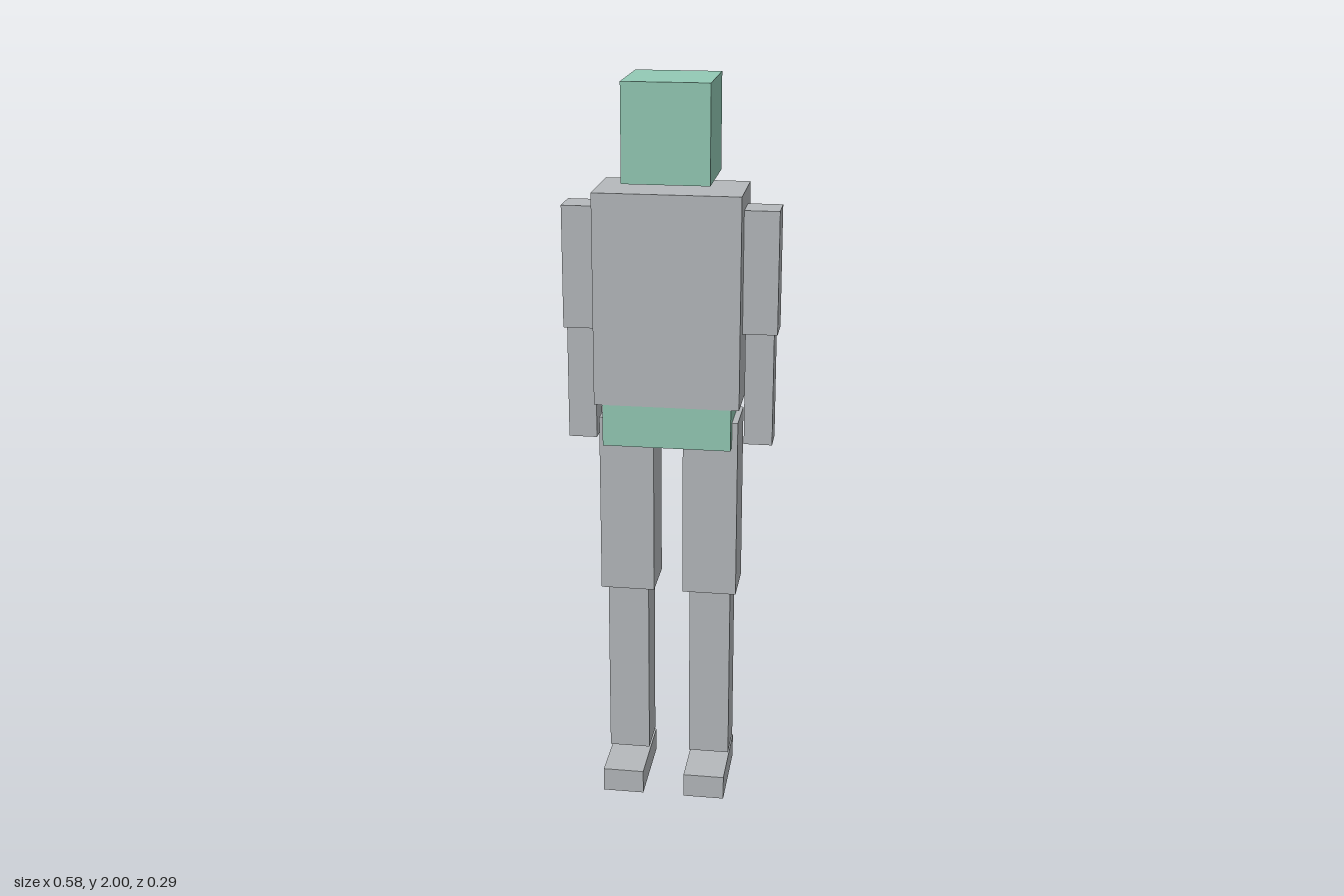
import * as THREE from 'three';

export function createModel() {
  const model = new THREE.Group();
  model.name = 'blockFigure';

  const grey = new THREE.MeshStandardMaterial({ color: 0xb5b9bc });
  grey.name = 'grey';
  const green = new THREE.MeshStandardMaterial({ color: 0x93cab5 });
  green.name = 'green';

  // Box given by its [min, max] extent on each axis
  function block(name, material, [x0, x1], [y0, y1], [z0, z1]) {
    const mesh = new THREE.Mesh(new THREE.BoxGeometry(x1 - x0, y1 - y0, z1 - z0), material);
    mesh.position.set((x0 + x1) / 2, (y0 + y1) / 2, (z0 + z1) / 2);
    mesh.name = name;
    model.add(mesh);
  }

  // Head, torso and hips
  block('head', green, [-0.115, 0.115], [1.742, 2], [-0.147, 0.093]);
  block('torso', grey, [-0.196, 0.195], [1.143, 1.715], [-0.137, 0.082]);
  block('hips', green, [-0.174, 0.173], [1.027, 1.143], [-0.129, 0.079]);

  // Limbs, mirrored to both sides
  const limbs = [
    ['UpperArm', [0.194, 0.288], [1.337, 1.668], [-0.074, 0.02]],
    ['Forearm', [0.202, 0.279], [1.027, 1.337], [-0.066, 0.014]],
    ['Thigh', [0.04, 0.189], [0.593, 1.096], [-0.098, 0.047]],
    ['Shin', [0.058, 0.172], [0.084, 0.593], [-0.082, 0.031]],
    ['Foot', [0.058, 0.172], [0, 0.068], [-0.103, 0.146]],
  ];
  for (const [name, [x0, x1], y, z] of limbs) {
    block('left' + name, grey, [x0, x1], y, z);
    block('right' + name, grey, [-x1, -x0], y, z);
  }

  return model;
}
